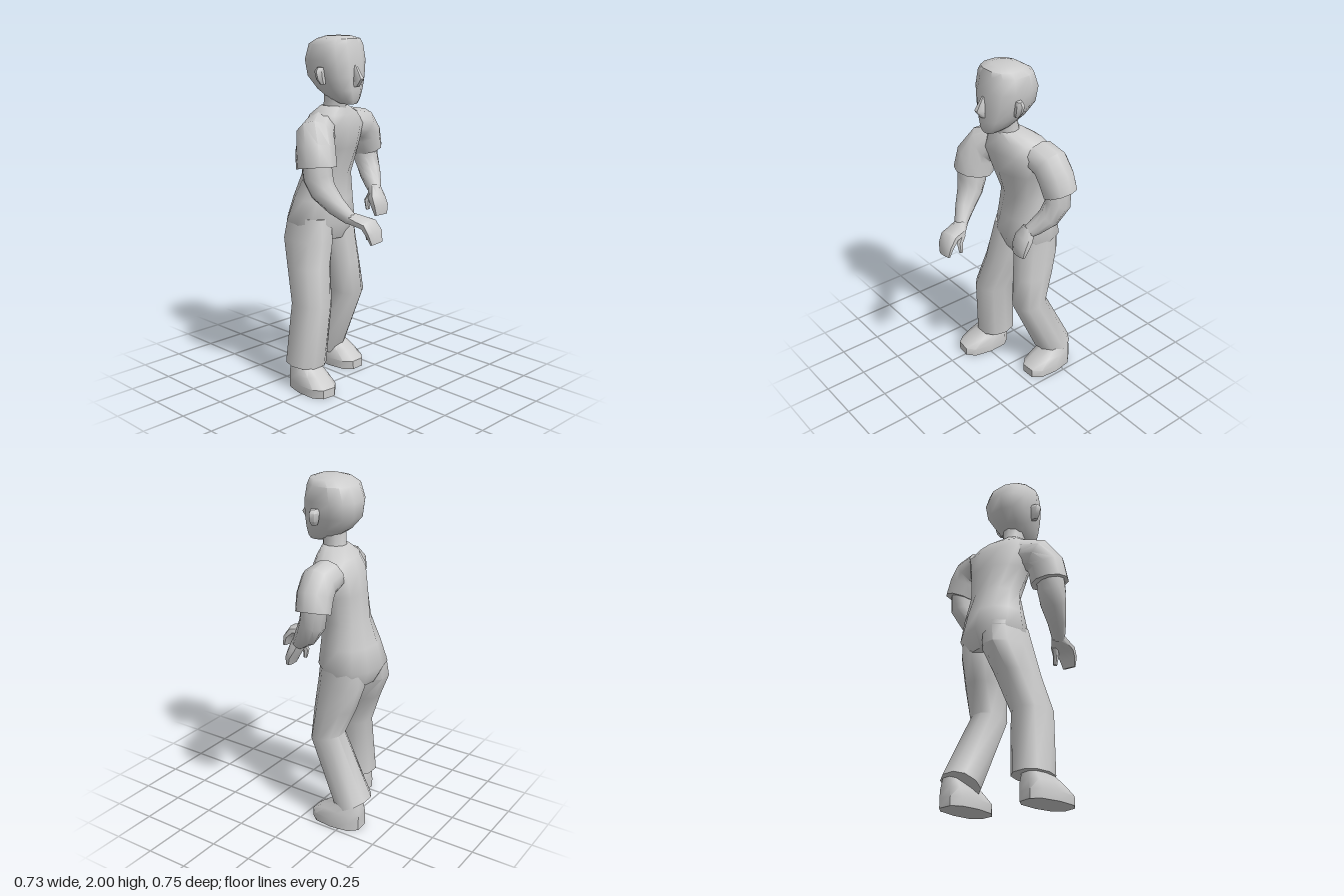
import * as THREE from 'three';
import { toCreasedNormals } from 'three/addons/utils/BufferGeometryUtils.js';

const V = (x, y, z) => new THREE.Vector3(x, y, z);
const material = new THREE.MeshStandardMaterial({ color: 0xcccccc });

// Closed skin over elliptical sections [x, y, z, ra, rb, yaw, pitch].
// With ref, sections stand across the path and ra lies along ref;
// without it they lie flat (ra along x, rb along z) and turn by yaw and pitch.
function loft(name, rings, { ref = null, sides = 10, power = 1, crease = 0.9 } = {}) {
  const pos = [], idx = [];
  const centres = rings.map(r => V(r[0], r[1], r[2]));
  const bend = a => Math.sign(a) * Math.abs(a) ** power;
  rings.forEach(([, , , ra, rb, yaw = 0, pitch = 0], i) => {
    const u = V(1, 0, 0), v = V(0, 0, 1);
    if (ref) {
      const t = centres[Math.min(i + 1, rings.length - 1)].clone()
        .sub(centres[Math.max(i - 1, 0)]).normalize();
      u.copy(ref).addScaledVector(t, -t.dot(ref)).normalize();
      v.crossVectors(t, u);
    } else {
      const e = new THREE.Euler(0, yaw, pitch, 'YZX');
      u.applyEuler(e);
      v.applyEuler(e);
    }
    for (let k = 0; k < sides; k++) {
      const a = (k + 0.5) / sides * Math.PI * 2;
      const p = centres[i].clone().addScaledVector(u, ra * bend(Math.cos(a)))
        .addScaledVector(v, rb * bend(Math.sin(a)));
      pos.push(p.x, p.y, p.z);
    }
  });
  const last = rings.length - 1, c0 = pos.length / 3, c1 = c0 + 1;
  pos.push(...centres[0].toArray(), ...centres[last].toArray());
  for (let k = 0; k < sides; k++) {
    const n = (k + 1) % sides;
    for (let i = 0; i < last; i++) {
      const a = i * sides + k, b = i * sides + n;
      idx.push(a, a + sides, b, b, a + sides, b + sides);
    }
    idx.push(c0, k, n, c1, last * sides + n, last * sides + k);
  }
  // Turn the faces outward if the enclosed volume comes out negative
  const at = i => V(pos[i * 3], pos[i * 3 + 1], pos[i * 3 + 2]);
  let volume = 0;
  for (let i = 0; i < idx.length; i += 3)
    volume += at(idx[i]).dot(at(idx[i + 1]).cross(at(idx[i + 2])));
  if (volume < 0) idx.reverse();
  const g = new THREE.BufferGeometry();
  g.setAttribute('position', new THREE.Float32BufferAttribute(pos, 3));
  g.setIndex(idx);
  const mesh = new THREE.Mesh(toCreasedNormals(g, crease), material);
  mesh.name = name;
  return mesh;
}

export function createModel() {
  const model = new THREE.Group();
  model.name = 'standingMan';
  const X = V(1, 0, 0), Z = V(0, 0, 1);

  // Torso: hips turned one way, shoulders the other
  model.add(loft('torso', [
    [-0.17, 0.85, 0.03, 0.13, 0.15, -0.15],
    [-0.175, 0.95, 0.035, 0.175, 0.205, -0.18],
    [-0.165, 1.08, 0.025, 0.15, 0.18, -0.1],
    [-0.145, 1.22, 0.015, 0.125, 0.148, 0.05],
    [-0.11, 1.38, 0.01, 0.14, 0.175, 0.2],
    [-0.09, 1.5, 0.01, 0.14, 0.215, 0.25],
    [-0.075, 1.57, 0.025, 0.11, 0.17, 0.25],
    [-0.045, 1.62, 0.05, 0.07, 0.075, 0.1],
  ], { sides: 12, power: 0.9, crease: 1.1 }));

  // Head, neck and face
  model.add(loft('neck', [
    [-0.05, 1.56, 0.05, 0.075, 0.075],
    [-0.035, 1.64, 0.05, 0.068, 0.062],
    [-0.02, 1.73, 0.05, 0.08, 0.07],
  ]));
  model.add(loft('head', [
    [0.065, 1.635, 0.05, 0.05, 0.038],
    [0.035, 1.66, 0.05, 0.092, 0.065],
    [0.0, 1.71, 0.05, 0.13, 0.1],
    [-0.03, 1.78, 0.05, 0.16, 0.132],
    [-0.037, 1.87, 0.05, 0.162, 0.149],
    [-0.03, 1.955, 0.05, 0.135, 0.142],
    [-0.01, 1.985, 0.05, 0.105, 0.115],
    [-0.01, 2.0, 0.05, 0.06, 0.06],
  ], { sides: 12, power: 0.8 }));
  model.add(loft('nose', [
    [0.115, 1.845, 0.05, 0.012, 0.012],
    [0.135, 1.775, 0.05, 0.042, 0.024],
    [0.12, 1.73, 0.05, 0.02, 0.022],
  ], { sides: 6 }));
  for (const s of [-1, 1]) {
    model.add(loft(s > 0 ? 'rightEar' : 'leftEar', [
      [0.005, 1.745, 0.05 + s * 0.135, 0.014, 0.02, s * 0.3],
      [0, 1.77, 0.05 + s * 0.145, 0.022, 0.03, s * 0.3],
      [-0.004, 1.815, 0.05 + s * 0.15, 0.026, 0.036, s * 0.3],
      [-0.002, 1.835, 0.05 + s * 0.145, 0.018, 0.026, s * 0.3],
    ], { sides: 6 }));
  }

  // Trouser legs: right one forward, left one trailing
  model.add(loft('rightLeg', [
    [-0.09, 0.14, 0.24, 0.115, 0.113, 0, -0.06],
    [-0.065, 0.5, 0.215, 0.12, 0.105],
    [-0.13, 0.7, 0.175, 0.135, 0.11],
    [-0.17, 0.85, 0.14, 0.167, 0.115],
    [-0.175, 0.98, 0.125, 0.15, 0.1],
  ], { power: 0.9 }));
  model.add(loft('leftLeg', [
    [-0.28, 0.125, -0.1, 0.105, 0.115, 0, -0.46],
    [-0.09, 0.52, -0.09, 0.1, 0.1, 0, -0.2],
    [-0.13, 0.7, -0.075, 0.125, 0.1],
    [-0.16, 0.85, -0.06, 0.14, 0.105],
    [-0.165, 0.98, -0.06, 0.13, 0.1],
  ], { power: 0.9 }));

  // Shoes
  const shoe = (name, x, z, yaw) => {
    const m = loft(name, [
      [0, 0, 0, 0.16, 0.095],
      [0, 0.05, 0, 0.16, 0.098],
      [-0.035, 0.1, 0, 0.125, 0.085],
      [-0.075, 0.15, 0, 0.078, 0.065],
      [-0.08, 0.2, 0, 0.06, 0.055],
    ], { power: 0.75, crease: 0.8 });
    m.position.set(x, 0, z);
    m.rotation.y = yaw;
    model.add(m);
  };
  shoe('rightShoe', -0.012, 0.265, -0.1);
  shoe('leftShoe', -0.2, -0.14, 0.03);

  // Right arm, reaching forward
  model.add(loft('rightSleeve', [
    [-0.065, 1.5, 0.13, 0.09, 0.1],
    [-0.015, 1.465, 0.225, 0.105, 0.112],
    [0.02, 1.4, 0.258, 0.108, 0.115],
    [0.037, 1.3, 0.267, 0.108, 0.118],
  ], { ref: Z }));
  model.add(loft('rightForearm', [
    [0.035, 1.36, 0.27, 0.08, 0.085],
    [0.05, 1.25, 0.268, 0.085, 0.082],
    [0.075, 1.18, 0.255, 0.078, 0.07],
    [0.14, 1.1, 0.222, 0.055, 0.055],
    [0.205, 1.03, 0.175, 0.038, 0.035],
  ], { ref: Z }));
  model.add(loft('rightHand', [
    [0.185, 1.04, 0.185, 0.034, 0.032],
    [0.25, 1.02, 0.15, 0.06, 0.028],
    [0.305, 1.01, 0.138, 0.062, 0.03],
    [0.338, 0.965, 0.13, 0.06, 0.022],
    [0.352, 0.91, 0.125, 0.045, 0.012],
  ], { ref: Z, sides: 8, power: 0.8 }));
  model.add(loft('rightThumb', [
    [0.235, 1.01, 0.115, 0.02, 0.022],
    [0.265, 0.97, 0.1, 0.018, 0.02],
    [0.262, 0.91, 0.095, 0.012, 0.012],
  ], { ref: Z, sides: 6 }));

  // Left arm, elbow held out and back
  model.add(loft('leftSleeve', [
    [-0.12, 1.5, -0.13, 0.1, 0.09],
    [-0.118, 1.48, -0.225, 0.105, 0.1],
    [-0.122, 1.42, -0.268, 0.103, 0.1],
    [-0.13, 1.335, -0.297, 0.1, 0.092],
  ], { ref: X }));
  model.add(loft('leftForearm', [
    [-0.13, 1.38, -0.28, 0.075, 0.07],
    [-0.12, 1.27, -0.29, 0.075, 0.07],
    [-0.07, 1.19, -0.272, 0.065, 0.062],
    [-0.01, 1.135, -0.235, 0.048, 0.048],
    [0.03, 1.1, -0.21, 0.036, 0.036],
  ], { ref: X }));
  model.add(loft('leftHand', [
    [0.015, 1.13, -0.215, 0.034, 0.036],
    [0.045, 1.07, -0.205, 0.036, 0.06],
    [0.07, 1.02, -0.205, 0.03, 0.06],
    [0.08, 0.97, -0.205, 0.016, 0.048],
  ], { ref: X, sides: 8, power: 0.8 }));
  model.add(loft('leftThumb', [
    [0.03, 1.09, -0.175, 0.02, 0.02],
    [0.012, 1.05, -0.16, 0.018, 0.018],
    [0.02, 1.0, -0.158, 0.012, 0.012],
  ], { ref: X, sides: 6 }));

  return model;
}
